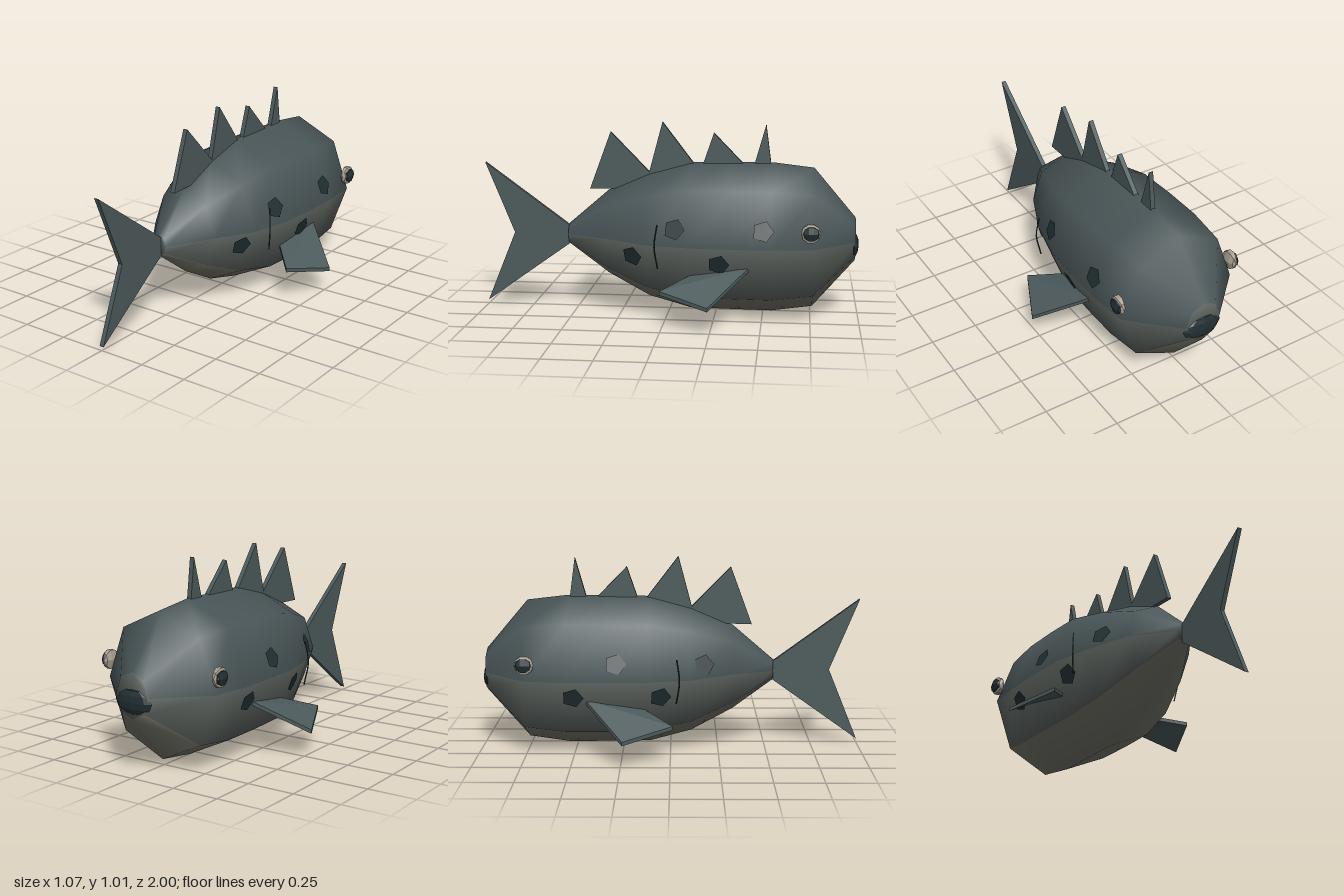
import * as THREE from 'three';

const mat = (color, flat = true) =>
  new THREE.MeshStandardMaterial({ color, flatShading: flat, side: THREE.DoubleSide });
const finMat = mat(0x4c5a5b);
const darkMat = mat(0x223033);
const eyeMat = mat(0xa79f90);

// Body rings from tail to nose: z, half width, top, bottom
const RINGS = [
  [0.545, 0.045, 0.46, 0.35], [0.33, 0.195, 0.645, 0.19], [0.11, 0.29, 0.74, 0.07],
  [-0.11, 0.34, 0.8, 0.01], [-0.325, 0.352, 0.803, 0.006], [-0.545, 0.35, 0.805, 0.004],
  [-0.76, 0.33, 0.78, 0.035], [-0.98, 0.1, 0.52, 0.29],
];
const SIDES = 8;

function add(group, name, geometry, material, position = [0, 0, 0]) {
  const mesh = new THREE.Mesh(geometry, material);
  mesh.name = name;
  mesh.position.set(...position);
  group.add(mesh);
  return mesh;
}

// Eight-sided loft with capped ends; three bands of colour from back to belly
function bodyGeometry() {
  const pos = [], bands = [[], [], []];
  for (const [z, w, top, bottom] of RINGS) {
    for (let j = 0; j < SIDES; j++) {
      const a = (j / SIDES) * Math.PI * 2;
      pos.push(w * Math.sin(a), (top + bottom) / 2 + ((top - bottom) / 2) * Math.cos(a), z);
    }
  }
  const bandOf = (j) => [0, 0, 1, 2, 2, 1, 0, 0][j];
  for (let i = 0; i < RINGS.length - 1; i++) {
    for (let j = 0; j < SIDES; j++) {
      const k = (j + 1) % SIDES;
      const a = i * SIDES + j, b = i * SIDES + k, c = a + SIDES, d = b + SIDES;
      bands[bandOf(j)].push(a, b, c, b, d, c);
    }
  }
  const last = (RINGS.length - 1) * SIDES;
  for (let j = 1; j < SIDES - 1; j++) {
    bands[0].push(0, j + 1, j);
    bands[1].push(last, last + j, last + j + 1);
  }
  const g = new THREE.BufferGeometry();
  g.setAttribute('position', new THREE.Float32BufferAttribute(pos, 3));
  g.setIndex(bands.flat());
  let start = 0;
  bands.forEach((b, i) => { g.addGroup(start, b.length, i); start += b.length; });
  g.computeVertexNormals();
  return g;
}

// Half width of the body surface at a given z and y
function surfaceX(z, y) {
  const i = Math.max(0, RINGS.findIndex((r, n) => n < RINGS.length - 1 && RINGS[n + 1][0] <= z));
  const t = (RINGS[i][0] - z) / (RINGS[i][0] - RINGS[i + 1][0]);
  const [w, top, bottom] = [1, 2, 3].map((k) => THREE.MathUtils.lerp(RINGS[i][k], RINGS[i + 1][k], t));
  const v = Math.abs(y - (top + bottom) / 2) / ((top - bottom) / 2);
  const s = Math.SQRT1_2;
  return w * (v < s ? 1 - (v / s) * (1 - s) : (s * (1 - v)) / (1 - s));
}

// Thin upright plate from a (z, y) outline
function plate(outline, thickness) {
  const shape = new THREE.Shape(outline.map(([z, y]) => new THREE.Vector2(-z, y)));
  const g = new THREE.ExtrudeGeometry(shape, { depth: thickness, bevelEnabled: false });
  g.translate(0, 0, -thickness / 2);
  g.rotateY(Math.PI / 2);
  return g;
}

// Sloping four-cornered slab for a side fin
function sideFinGeometry(side) {
  const corners = [[0.3, 0.307, -0.44], [0.535, 0.145, -0.24], [0.42, 0.197, 0.012], [0.25, 0.265, -0.17]];
  const pos = [];
  for (const drop of [0, 0.02]) for (const [x, y, z] of corners) pos.push(side * x, y - drop, z);
  const index = [0, 2, 1, 0, 3, 2, 4, 5, 6, 4, 6, 7];
  for (let i = 0; i < 4; i++) {
    const j = (i + 1) % 4;
    index.push(i, j, j + 4, i, j + 4, i + 4);
  }
  if (side < 0) index.reverse();
  const g = new THREE.BufferGeometry();
  g.setAttribute('position', new THREE.Float32BufferAttribute(pos, 3));
  g.setIndex(index);
  g.computeVertexNormals();
  return g;
}

export function createModel() {
  const fish = new THREE.Group();
  fish.name = 'fish';

  add(fish, 'body', bodyGeometry(), [mat(0x4a5658, false), mat(0x5b625e, false), mat(0x74756a, false)]);

  // Forked tail
  add(fish, 'tailFin', plate([[0.53, 0.44], [1, 0.785], [0.845, 0.405], [1, 0.025], [0.53, 0.36]], 0.025), finMat);

  // Row of back spines
  const spines = [
    [[0.43, 0.65], [0.317, 0.957], [0.1, 0.735], [0.1, 0.66]],
    [[0.115, 0.73], [0.04, 1.012], [-0.13, 0.79], [-0.13, 0.7]],
    [[-0.175, 0.79], [-0.232, 0.957], [-0.395, 0.79]],
    [[-0.445, 0.79], [-0.506, 1.005], [-0.535, 0.79]],
  ];
  spines.forEach((s, i) => add(fish, `backSpine${i + 1}`, plate(s, 0.025), finMat));

  // Lips
  add(fish, 'lips', new THREE.SphereGeometry(1, 8, 6), darkMat, [0, 0.375, -0.972]).scale.set(0.11, 0.065, 0.028);

  for (const side of [1, -1]) {
    const label = side > 0 ? 'left' : 'right';
    add(fish, `${label}SideFin`, sideFinGeometry(side), finMat);

    // Eye and pupil
    const ball = new THREE.SphereGeometry(1, 6, 5);
    ball.rotateX(Math.PI / 2);
    add(fish, `${label}Eye`, ball, eyeMat, [side * 0.335, 0.493, -0.745]).scale.set(0.027, 0.057, 0.05);
    add(fish, `${label}Pupil`, ball, darkMat, [side * 0.35, 0.493, -0.747]).scale.set(0.019, 0.042, 0.042);

    // Thin gill line
    const gill = new THREE.CatmullRomCurve3([[0.325, 0.52, 0.032], [0.338, 0.41, 0.046], [0.322, 0.29, 0.03]]
      .map(([x, y, z]) => new THREE.Vector3(side * x, y, z)));
    add(fish, `${label}GillLine`, new THREE.TubeGeometry(gill, 8, 0.004, 4), darkMat);

    // Five-sided spots lying on the flank, alternating high and low
    const spots = side > 0
      ? [[-0.505, 0.495], [-0.28, 0.32], [-0.052, 0.493], [0.173, 0.338]]
      : [[-0.5, 0.32], [-0.28, 0.495], [-0.052, 0.32], [0.173, 0.477]];
    spots.forEach(([z, y], i) => {
      const e = 0.03;
      const normal = new THREE.Vector3(
        side,
        -(surfaceX(z, y + e) - surfaceX(z, y - e)) / (2 * e),
        -(surfaceX(z + e, y) - surfaceX(z - e, y)) / (2 * e));
      const p = new THREE.Vector3(side * (surfaceX(z, y) + 0.008), y, z);
      const spot = add(fish, `${label}Spot${i + 1}`, new THREE.CircleGeometry(0.057, 5), darkMat, p.toArray());
      spot.lookAt(p.add(normal));
    });
  }
  return fish;
}
